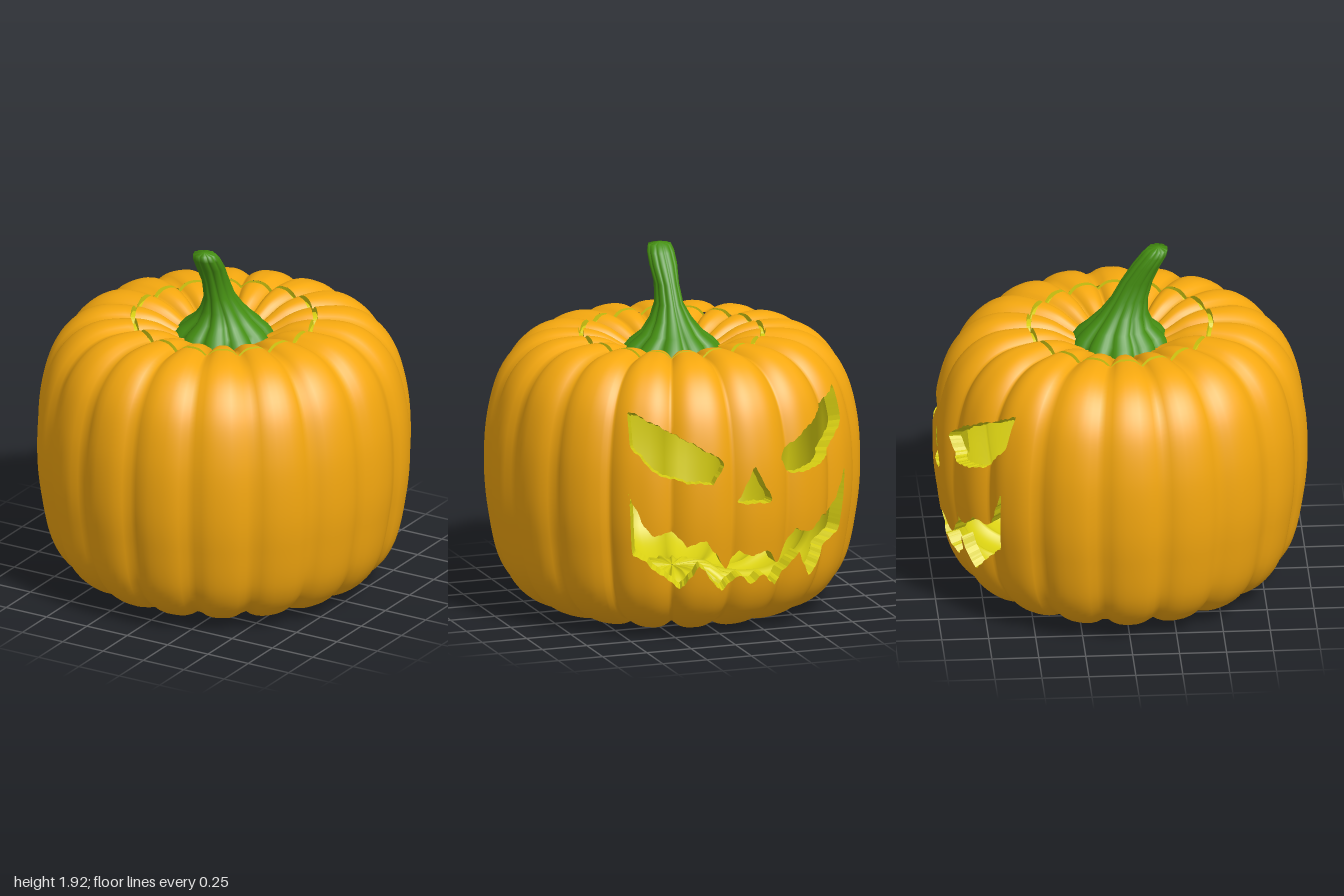
import * as THREE from 'three';
import { mergeVertices } from 'three/addons/utils/BufferGeometryUtils.js';

const RAD = Math.PI / 180;
const WALL = 0.07; // shell thickness
const LOBES = 18;
const FACE = Math.PI + 7 * RAD; // azimuth of the carved face

// Half profile (radius, height) from the bottom dimple up to the stem hollow
const profile = new THREE.SplineCurve([
  [0.0001, 0.13], [0.16, 0.12], [0.23, 0.07], [0.38, 0.015], [0.6, 0.01], [0.8, 0.09], [0.92, 0.25],
  [0.98, 0.52], [1, 0.76], [0.985, 1.02], [0.925, 1.25], [0.82, 1.4], [0.68, 1.48], [0.5, 1.495],
  [0.37, 1.47], [0.26, 1.41], [0.15, 1.35],
].map(([r, y]) => new THREE.Vector2(r, y)));
profile.arcLengthDivisions = 500;

// Point on the ribbed shell at azimuth a, profile position v, sunk by inset
function shellPoint(a, v, inset = 0) {
  const p = profile.getPointAt(v), t = profile.getTangentAt(v);
  const groove = Math.pow(1 - Math.abs(Math.sin(a * LOBES / 2)), 1.5);
  const d = -inset - Math.min(0.042, 0.13 * p.x) * groove;
  const r = Math.max(0, p.x + t.y * d);
  return [r * Math.sin(a), p.y - t.x * d, r * Math.cos(a)];
}

// Carved outlines as (degrees from the face centre, height)
const mirror = (pts) => pts.map(([b, y]) => [-b, y]).reverse();
const eye = [[42, 1.28], [40, 1.09], [31, 0.94], [22, 0.9], [14, 0.89], [9, 1.0], [20, 1.11], [29.5, 1.19]];
const nose = [[0, 0.97], [6, 0.76], [-6, 0.77]];
const upperLip = [[5, 0.5], [9, 0.4], [16, 0.58], [22, 0.55], [27, 0.63], [32, 0.6], [36, 0.68], [40, 0.85]];
const lowerLip = [[39, 0.5], [35, 0.46], [31, 0.39], [24, 0.29], [18, 0.44], [10, 0.27], [4, 0.36]];
const halfMouth = [...upperLip, ...lowerLip];
const mouth = [[0, 0.47], ...halfMouth, [0, 0.31], ...mirror(halfMouth)];
const cuts = [eye, mirror(eye), nose, mouth].map((c) => c.map(([b, y]) => [b * RAD, y]));

// Signed distance to a polygon, negative inside
function polygonDistance(x, y, poly) {
  let best = Infinity, inside = false;
  poly.forEach(([ax, ay], i) => {
    const [bx, by] = poly[(i + 1) % poly.length];
    const ex = bx - ax, ey = by - ay;
    const k = THREE.MathUtils.clamp(((x - ax) * ex + (y - ay) * ey) / (ex * ex + ey * ey), 0, 1);
    best = Math.min(best, Math.hypot(x - ax - ex * k, y - ay - ey * k));
    if ((ay > y) !== (by > y) && x < ax + ex * (y - ay) / ey) inside = !inside;
  });
  return inside ? -best : best;
}

function cutDistance(a, v) {
  const b = a - FACE;
  if (Math.abs(b) > 50 * RAD) return 1;
  const y = profile.getPointAt(v).y;
  const ragged = 0.006 * Math.sin(b * 95) * Math.sin(b * 41 + y * 9);
  return Math.min(...cuts.map((c) => polygonDistance(b, y, c))) + ragged;
}

function toGeometry(points, smooth = true) {
  let g = new THREE.BufferGeometry();
  g.setAttribute('position', new THREE.Float32BufferAttribute(points.flat(), 3));
  if (smooth) g = mergeVertices(g, 1e-5);
  g.computeVertexNormals();
  return g;
}

// Triangles in (azimuth, v) over a grid, clipped by the carved outlines
function clippedGrid(angles, rows, carved) {
  const tris = [], edges = [];
  const nodes = angles.map((a) => rows.map((v) => ({ a, v, d: carved ? cutDistance(a, v) : 1 })));
  const clip = (tri) => {
    const out = [], crossing = [];
    tri.forEach((p, i) => {
      const q = tri[(i + 1) % 3];
      if (p.d >= 0) out.push(p);
      if ((p.d >= 0) !== (q.d >= 0)) {
        const k = p.d / (p.d - q.d);
        const m = { a: p.a + (q.a - p.a) * k, v: p.v + (q.v - p.v) * k };
        out.push(m);
        crossing.push(m);
      }
    });
    for (let i = 2; i < out.length; i++) tris.push([out[0], out[i - 1], out[i]]);
    if (crossing.length === 2) edges.push(crossing);
  };
  for (let i = 0; i + 1 < angles.length; i++) {
    for (let j = 0; j + 1 < rows.length; j++) {
      const A = nodes[i][j], B = nodes[i + 1][j], C = nodes[i + 1][j + 1], D = nodes[i][j + 1];
      clip([A, B, C]);
      clip([A, C, D]);
    }
  }
  return { tris, edges };
}

const range = (from, to, n) => Array.from({ length: n + 1 }, (_, i) => from + (to - from) * i / n);
const skin = (tris, inset, flip) => toGeometry(tris.flatMap((t) =>
  (flip ? [...t].reverse() : t).map((p) => shellPoint(p.a, p.v, inset))));

// Stem: ribbed cross-sections leaning forward, closed by a rough tip
function stemGeometry() {
  const sections = [ // height, z centre, half width, half depth
    [1.39, 0, 0.27, 0.26], [1.43, 0, 0.235, 0.235], [1.48, 0, 0.17, 0.18], [1.55, 0.02, 0.115, 0.13],
    [1.63, 0.05, 0.075, 0.1], [1.73, 0.09, 0.066, 0.085], [1.82, 0.14, 0.077, 0.075],
    [1.88, 0.18, 0.075, 0.068], [1.915, 0.2, 0.063, 0.055], [1.925, 0.205, 0.001, 0.001],
  ];
  const n = 80, pts = [];
  const at = (i, j) => {
    const [y, z, w, d] = sections[j], a = (i % n) / n * Math.PI * 2;
    const k = 1 - (j < 3 ? 0.16 : 0.1) * Math.pow(1 - Math.abs(Math.sin(a * 5)), 1.4);
    return [w * k * Math.sin(a), y, z + d * k * Math.cos(a)];
  };
  for (let j = 0; j + 1 < sections.length; j++) {
    for (let i = 0; i < n; i++) {
      const A = at(i, j), B = at(i + 1, j), C = at(i + 1, j + 1), D = at(i, j + 1);
      pts.push(A, B, C, A, C, D);
    }
  }
  return toGeometry(pts);
}

export function createModel() {
  const model = new THREE.Group();
  const paint = (color, extra) => new THREE.MeshStandardMaterial({ color, ...extra });
  const rind = paint(0xf5a80f);
  const flesh = paint(0xd8cf12);
  const cutFlesh = paint(0xd8cf12, { side: THREE.DoubleSide });
  const add = (name, geometry, material) => {
    const mesh = new THREE.Mesh(geometry, material);
    mesh.name = name;
    model.add(mesh);
  };

  // The lid starts where the top profile reaches its cutting radius
  let rim = 1;
  while (profile.getPointAt(rim).x < 0.495) rim -= 0.001;
  const lidEdge = rim + 0.009;

  // Fine columns across the face, coarser ones elsewhere
  const faceStart = FACE - 50 * RAD, faceEnd = FACE + 50 * RAD;
  const angles = [...range(faceStart, faceEnd, 150), ...range(faceEnd, faceStart + 2 * Math.PI, 108).slice(1)];
  const body = clippedGrid(angles, range(0, rim, 90), true);
  add('body', skin(body.tris, 0, false), rind);
  add('bodyInside', skin(body.tris, WALL, true), flesh);

  // Cut faces of the eyes, nose and mouth
  add('carvedEdges', toGeometry(body.edges.flatMap(([p, q]) => {
    const A = shellPoint(p.a, p.v), B = shellPoint(q.a, q.v);
    const C = shellPoint(q.a, q.v, WALL), D = shellPoint(p.a, p.v, WALL);
    return [A, B, C, A, C, D];
  }), false), cutFlesh);

  // Lid with its inner side
  const ring = range(0, Math.PI * 2, 216);
  const lid = clippedGrid(ring, range(lidEdge, 1, 24), false);
  add('lid', skin(lid.tris, 0, false), rind);
  add('lidInside', skin(lid.tris, WALL, true), flesh);

  // Groove around the lid
  const path = [[rim, 0], [rim, 0.03], [lidEdge, 0.03], [lidEdge, 0]];
  const groove = [];
  for (let i = 0; i + 1 < ring.length; i++) {
    for (let j = 0; j < 3; j++) {
      const [A, D] = [j, j + 1].map((k) => shellPoint(ring[i], ...path[k]));
      const [B, C] = [j, j + 1].map((k) => shellPoint(ring[i + 1], ...path[k]));
      groove.push(A, B, C, A, C, D);
    }
  }
  add('lidGroove', toGeometry(groove, false), cutFlesh);

  add('stem', stemGeometry(), paint(0x458f12));
  return model;
}
